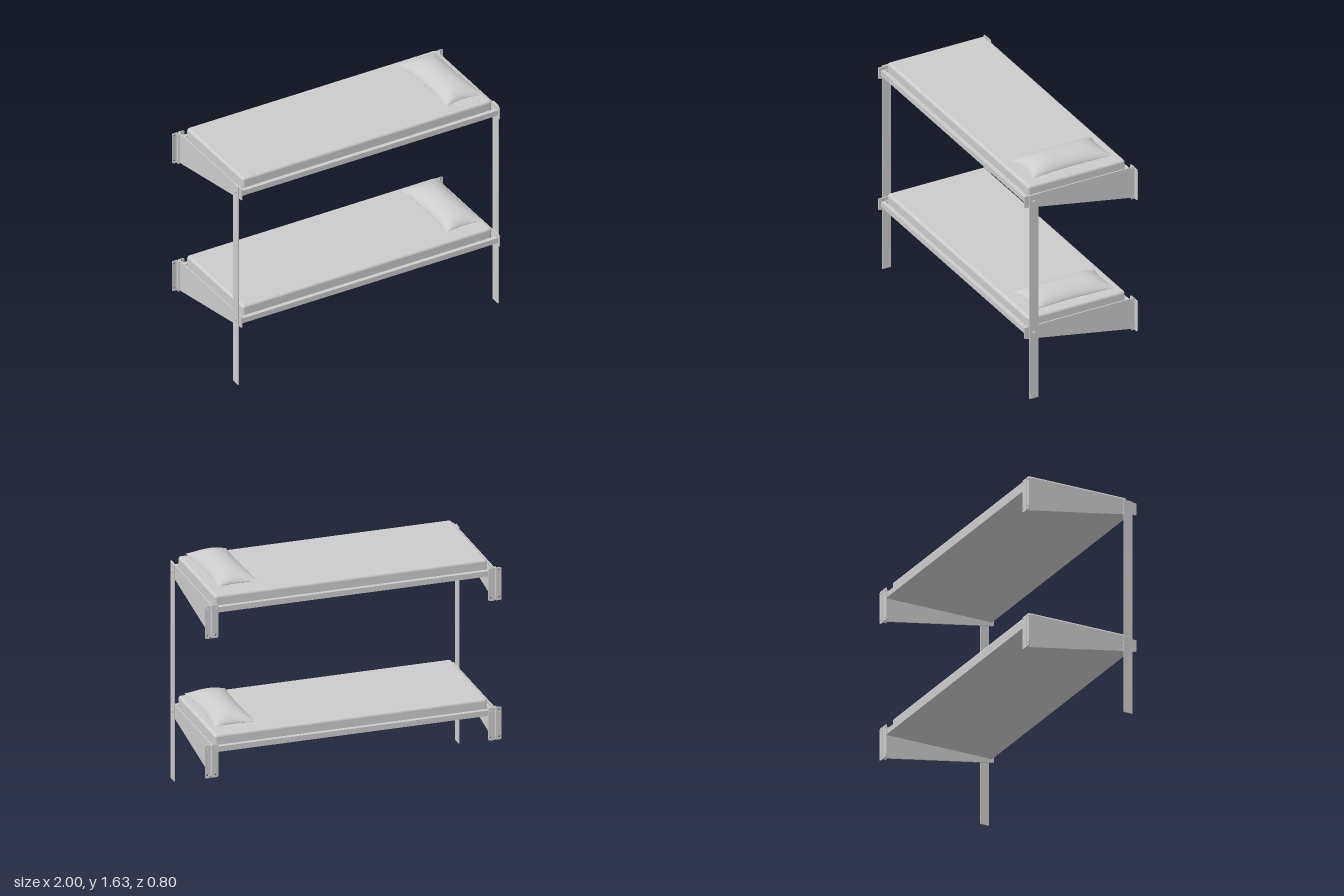
import * as THREE from 'three';
import { RoundedBoxGeometry } from 'three/addons/geometries/RoundedBoxGeometry.js';

const grey = new THREE.MeshStandardMaterial({ color: 0xcccccc });

function add(parent, name, geometry, x = 0, y = 0, z = 0) {
  const mesh = new THREE.Mesh(geometry, grey);
  mesh.name = name;
  mesh.position.set(x, y, z);
  parent.add(mesh);
  return mesh;
}

const box = (w, h, d) => new THREE.BoxGeometry(w, h, d);

// Tapered side plate, drawn in (z, y) and extruded along x
function bracketGeometry(thickness) {
  const s = new THREE.Shape();
  s.moveTo(-0.4, 0);
  s.lineTo(0.4, 0);
  s.lineTo(0.4, -0.225);
  s.lineTo(-0.4, -0.08);
  s.closePath();
  // shape x becomes -z after the quarter turn
  return new THREE.ExtrudeGeometry(s, { depth: thickness, bevelEnabled: false })
    .rotateY(Math.PI / 2);
}

// Wall flange strip with its outer corners rounded and two screw holes
function flangeGeometry() {
  const w = 0.037, h = 0.225, r = 0.012;
  const s = new THREE.Shape();
  s.moveTo(0, 0);
  s.lineTo(0, -h);
  s.lineTo(w - r, -h);
  s.quadraticCurveTo(w, -h, w, -h + r);
  s.lineTo(w, -r);
  s.quadraticCurveTo(w, 0, w - r, 0);
  s.closePath();
  for (const y of [-0.02, -h + 0.02]) {
    s.holes.push(new THREE.Path().absarc(w * 0.55, y, 0.006, 0, Math.PI * 2, true));
  }
  return new THREE.ExtrudeGeometry(s, { depth: 0.006, bevelEnabled: false, curveSegments: 8 });
}

// One half of a pillow: a grid pinched in along its sides and puffed up by height
function pillowHalf(height) {
  const g = new THREE.PlaneGeometry(2, 2, 28, 40);
  const p = g.attributes.position;
  for (let i = 0; i < p.count; i++) {
    // crowd the grid towards the seam for a smooth curve
    const u = Math.sin(p.getX(i) * Math.PI / 2), v = Math.sin(p.getY(i) * Math.PI / 2);
    const x = 0.138 * u * (1 - 0.13 * (1 - v * v));
    const z = -0.298 * v * (1 - 0.08 * (1 - u * u));
    const puff = Math.pow(Math.max(0, 1 - u * u), 0.65) * Math.pow(Math.max(0, 1 - v ** 4), 0.65);
    p.setXYZ(i, x, height * puff, z);
  }
  if (height < 0) { // mirrored half: swap corner order
    const ix = g.index;
    for (let i = 0; i < ix.count; i += 3) {
      const a = ix.getX(i);
      ix.setX(i, ix.getX(i + 1));
      ix.setX(i + 1, a);
    }
  }
  g.computeVertexNormals();
  return g;
}

// Side bracket with flanges, screws and the bolt to the post; built for +x
function bracketSide(side) {
  const g = new THREE.Group();
  g.name = side > 0 ? 'leftBracket' : 'rightBracket';
  add(g, 'bracketPlate', bracketGeometry(0.008), 0.947);
  add(g, 'outerFlange', flangeGeometry(), 0.963, 0, -0.4);
  const inner = add(g, 'innerFlange', flangeGeometry(), 0.947, 0, -0.394);
  inner.rotation.y = Math.PI;
  // folded web joining the outer flange to the plate
  add(g, 'flangeWeb', box(0.005, 0.225, 0.03), 0.9645, -0.1125, -0.385);
  for (const y of [-0.02, -0.2]) {
    add(g, 'plateScrew', new THREE.CylinderGeometry(0.006, 0.006, 0.024, 12)
      .rotateZ(Math.PI / 2), 0.957, y, -0.385);
  }
  add(g, 'postBolt', new THREE.CylinderGeometry(0.012, 0.012, 0.03, 12)
    .rotateZ(Math.PI / 2), 0.956, -0.047, 0.335);
  g.rotation.y = 0;
  if (side < 0) mirrorX(g);
  return g;
}

// Mirror every mesh of a group in x by rewriting its geometry
function mirrorX(group) {
  group.traverse((m) => {
    if (!m.isMesh) return;
    m.updateMatrix();
    let geo = m.geometry.clone().applyMatrix4(m.matrix).applyMatrix4(new THREE.Matrix4().makeScale(-1, 1, 1));
    geo = geo.index ? geo.toNonIndexed() : geo;
    for (const a of Object.values(geo.attributes)) {
      for (let i = 0; i < a.count; i += 3) {
        for (let k = 0; k < a.itemSize; k++) {
          const t = a.getComponent(i, k);
          a.setComponent(i, k, a.getComponent(i + 1, k));
          a.setComponent(i + 1, k, t);
        }
      }
    }
    m.geometry = geo;
    m.position.set(0, 0, 0);
    m.rotation.set(0, 0, 0);
  });
}

// One bunk; y = 0 is the top edge of the brackets
function bunk(name, pillowX, pillowZ, pillowTurn) {
  const g = new THREE.Group();
  g.name = name;
  // Tray: base panel with a raised edge all round
  add(g, 'basePanel', box(1.88, 0.012, 0.75), 0, -0.054, 0);
  for (const s of [-1, 1]) {
    add(g, s > 0 ? 'frontRail' : 'backRail', box(1.894, 0.037, 0.01), 0, -0.0415, s * 0.379);
    add(g, 'railLip', box(1.88, 0.005, 0.02), 0, -0.0255, s * 0.366);
    add(g, 'endRail', box(0.008, 0.037, 0.75), s * 0.941, -0.0415, 0);
    g.add(bracketSide(s));
  }
  add(g, 'mattress', new RoundedBoxGeometry(1.84, 0.093, 0.71, 4, 0.018), 0, -0.0015, 0);
  // Pillow: full upper half, flatter lower half
  const pillow = new THREE.Group();
  pillow.name = 'pillow';
  add(pillow, 'pillowTop', pillowHalf(0.07));
  add(pillow, 'pillowBottom', pillowHalf(-0.025));
  pillow.position.set(pillowX, 0.075, pillowZ);
  pillow.rotation.y = pillowTurn;
  g.add(pillow);
  return g;
}

export function createModel() {
  const model = new THREE.Group();
  model.name = 'bunkBed';

  const upper = bunk('upperBunk', 0.743, 0.01, 0.02);
  upper.position.y = 1.485;
  const lower = bunk('lowerBunk', 0.76, 0.003, 0);
  lower.position.y = 0.525;
  model.add(upper, lower);

  // Flat front posts
  for (const s of [-1, 1]) {
    add(model, s > 0 ? 'leftPost' : 'rightPost', box(0.008, 1.488, 0.064), s * 0.959, 0.744, 0.337);
  }
  return model;
}
